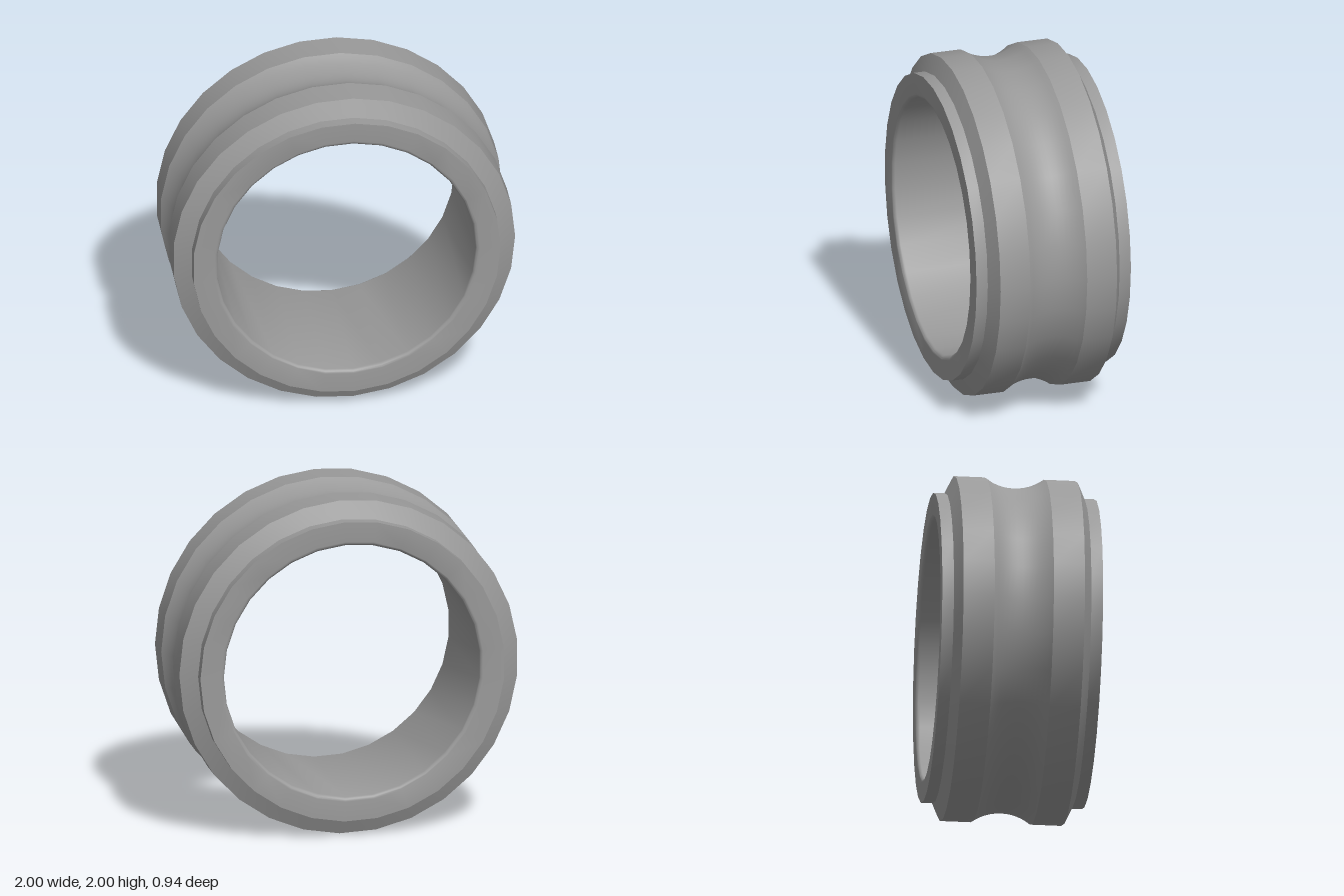
import * as THREE from 'three';
import { toCreasedNormals } from 'three/addons/utils/BufferGeometryUtils.js';

const SIDES = 29;
const HALF = 0.468;      // half width of the ring
const BORE = 0.757;      // inner radius
const LIP = 0.9;         // radius of the stepped lips
const RIM = 1.0015;      // outer radius
const FILLET = 0.025;    // rounding of the bore edges

// Adds an arc of points to a profile, angles in radians
function arc(points, cx, cy, r, from, to, steps) {
  for (let i = 0; i <= steps; i++) {
    const a = from + ((to - from) * i) / steps;
    points.push(new THREE.Vector2(cx + r * Math.cos(a), cy + r * Math.sin(a)));
  }
}

export function createModel() {
  const steel = new THREE.MeshStandardMaterial({ color: 0x999999 });
  steel.name = 'grey steel';

  const profile = [];
  const add = (r, z) => profile.push(new THREE.Vector2(r, z));

  // lower lip and chamfer
  add(LIP, -HALF);
  add(LIP, -0.4);
  add(RIM, -0.353);

  // rounded groove around the middle
  const grooveHalf = 0.172, depth = 0.058;
  const radius = (grooveHalf ** 2 + depth ** 2) / (2 * depth);
  const sweep = Math.asin(grooveHalf / radius);
  arc(profile, RIM - depth + radius, 0, radius, Math.PI + sweep, Math.PI - sweep, 12);

  // upper chamfer and lip
  add(RIM, 0.353);
  add(LIP, 0.4);
  add(LIP, HALF);

  // bore with rounded edges
  const c = BORE + FILLET, e = HALF - FILLET;
  arc(profile, c, e, FILLET, Math.PI / 2, Math.PI, 6);
  arc(profile, c, -e, FILLET, Math.PI, Math.PI * 1.5, 6);
  add(LIP, -HALF);

  const lathe = new THREE.LatheGeometry(profile, SIDES, Math.PI / 2);
  const ring = new THREE.Mesh(toCreasedNormals(lathe, 0.45), steel);
  ring.name = 'groovedRing';
  ring.rotation.x = Math.PI / 2;
  ring.position.set(-0.003, 1, 0);

  const group = new THREE.Group();
  group.name = 'groovedBushing';
  group.add(ring);
  return group;
}
